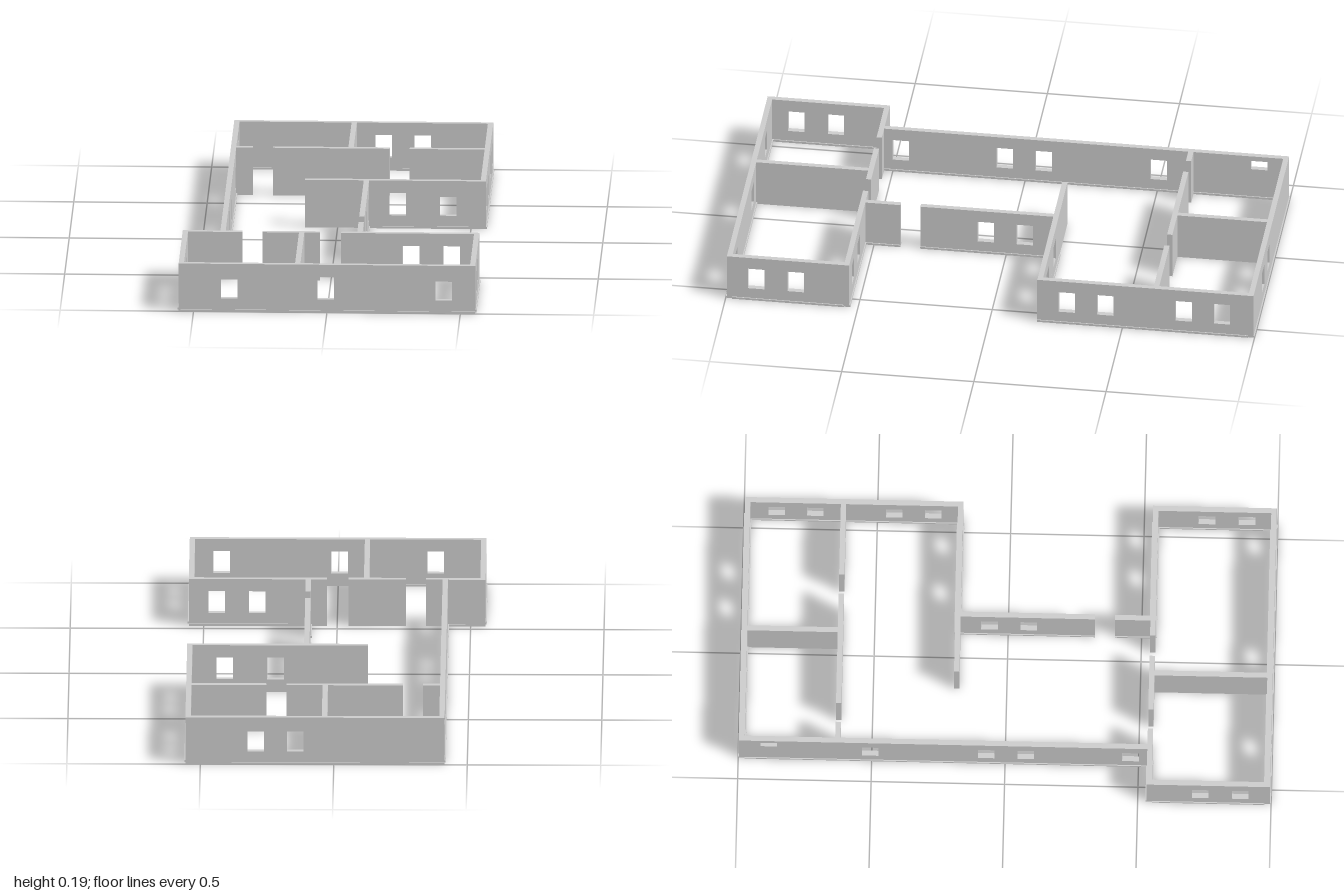
import * as THREE from 'three';

const HEIGHT = 0.185, THICK = 0.02, BASE = 0.008, LIP = 0.004;
const SILL = 0.05, HEAD = 0.137, WIN = 0.062;

// Wall running along 'x' or 'z' from a to b, centred on c across its thickness.
// windows: list of centres, or [centre, sill, head] for a special opening.
function wall(name, axis, c, a, b, { windows = [], plinth = false } = {}) {
  const group = new THREE.Group();
  group.name = name;
  const mat = new THREE.MeshStandardMaterial({ color: 0xcccccc });
  const y0 = plinth ? BASE : 0;

  const shape = new THREE.Shape();
  shape.moveTo(a, y0).lineTo(b, y0).lineTo(b, HEIGHT).lineTo(a, HEIGHT).closePath();
  for (const w of windows) {
    const [m, s, h] = Array.isArray(w) ? w : [w, SILL, HEAD];
    const l = m - WIN / 2, r = m + WIN / 2;
    const hole = new THREE.Path();
    hole.moveTo(l, s).lineTo(l, h).lineTo(r, h).lineTo(r, s).closePath();
    shape.holes.push(hole);
  }
  const geo = new THREE.ExtrudeGeometry(shape, { depth: THICK, bevelEnabled: false });
  geo.translate(0, 0, -THICK / 2);
  const panel = new THREE.Mesh(geo, mat);
  panel.name = 'wallPanel';
  group.add(panel);

  // low footing, slightly wider than the wall
  if (plinth) {
    const foot = new THREE.Mesh(new THREE.BoxGeometry(b - a, BASE, THICK + 2 * LIP), mat);
    foot.position.set((a + b) / 2, BASE / 2, 0);
    foot.name = 'footing';
    group.add(foot);
  }

  if (axis === 'z') {
    group.rotation.y = -Math.PI / 2;
    group.position.x = c;
  } else {
    group.position.z = c;
  }
  return group;
}

export function createModel() {
  const model = new THREE.Group();
  model.name = 'housePlan';
  const outer = (name, axis, c, a, b, windows = []) =>
    model.add(wall(name, axis, c, a, b, { windows, plinth: true }));
  const inner = (name, axis, c, a, b, windows = []) =>
    model.add(wall(name, axis, c, a, b, { windows }));

  // rear wing
  outer('rearWall', 'x', -0.986, -0.415, 0.556, [0.145, 0.292]);
  outer('rearLeftWall', 'z', 0.546, -0.976, -0.178, [-0.877, -0.732, -0.436, -0.29]);
  outer('rearStepWall', 'x', -0.188, 0.098, 0.536, [0.225, 0.415]);
  inner('rearStepSpur', 'x', -0.188, -0.122, 0.098);

  // long middle section
  outer('rightLongWall', 'z', -0.405, -0.976, 0.533,
    [[-0.885, 0.128, 0.165], -0.505, -0.07, 0.077, 0.47]);
  outer('middleLeftWall', 'z', 0.108, -0.178, 0.325, [-0.07, 0.077]);
  outer('middleLeftPier', 'z', 0.108, 0.4, 0.533);

  // front wing
  outer('frontWall', 'x', 0.986, -0.556, 0.556, [-0.366, -0.005, 0.437]);
  outer('frontRightWall', 'z', -0.546, 0.553, 0.976, [0.735, 0.885]);
  outer('frontLeftWall', 'z', 0.546, 0.553, 0.976, [0.735, 0.885]);
  outer('frontStepRight', 'x', 0.543, -0.556, -0.395);
  outer('frontStepLeft', 'x', 0.543, 0.098, 0.556, [0.3, 0.452]);

  // partitions, with door gaps between them
  inner('frontPartitionStub', 'x', 0.543, -0.395, -0.332);
  inner('frontPartition', 'x', 0.543, -0.257, -0.042);
  inner('frontPartitionJamb', 'x', 0.543, 0.038, 0.098);
  inner('frontRoomDivider', 'z', -0.11, 0.553, 0.976);
  inner('rearPartitionStub', 'x', -0.627, -0.395, -0.332);
  inner('rearPartition', 'x', -0.627, -0.257, 0.18);
  inner('rearPartitionSide', 'x', -0.627, 0.255, 0.536);
  inner('rearRoomDivider', 'z', 0.035, -0.976, -0.637);

  return model;
}
